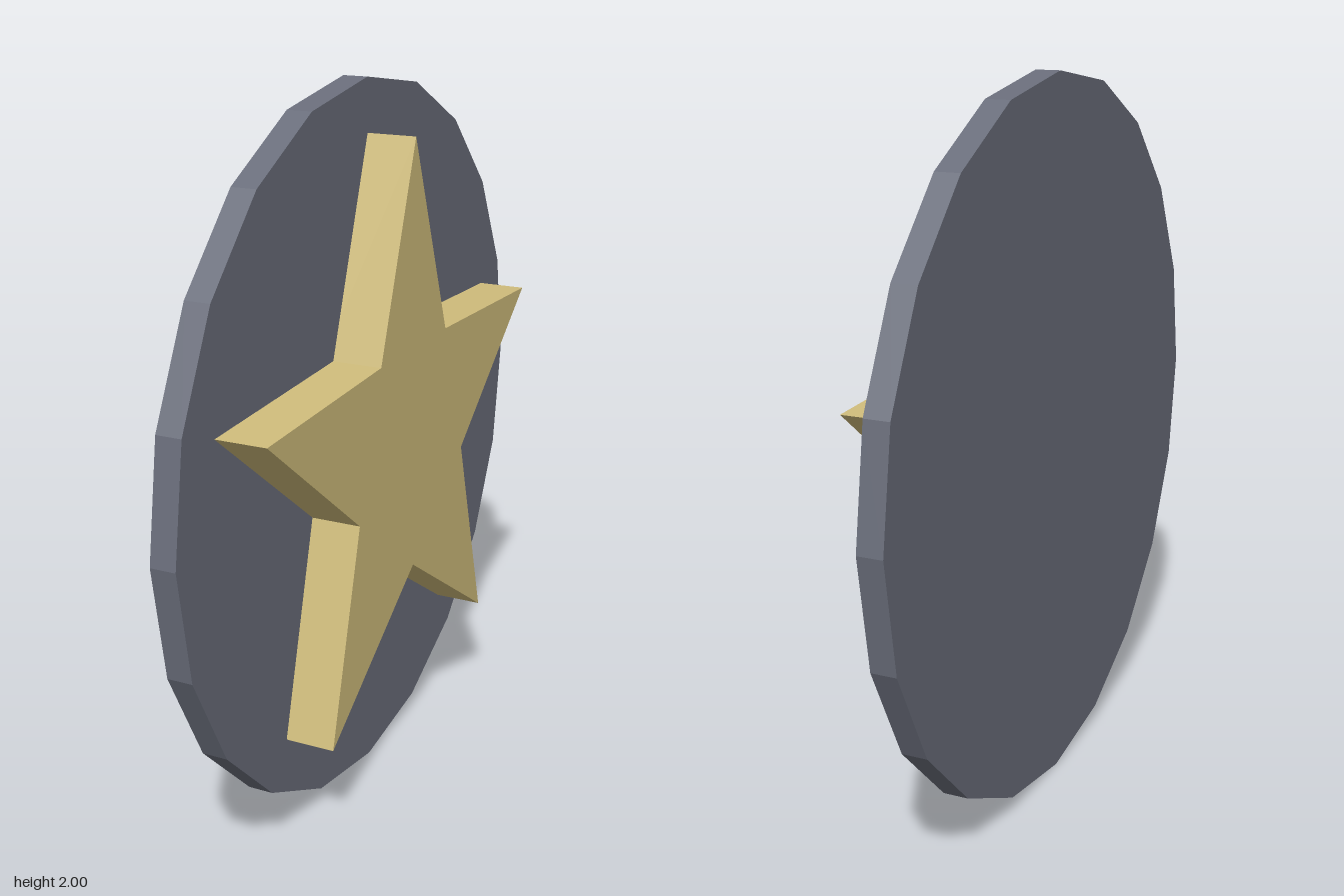
import * as THREE from 'three';

const DISC_BACK = -0.105, DISC_FRONT = -0.035, STAR_FRONT = 0.105;

// Five-pointed star outline with one tip pointing up
function starShape(outer, inner, tips = 5) {
  const points = [];
  for (let i = 0; i < tips * 2; i++) {
    const r = i % 2 ? inner : outer;
    const a = Math.PI / 2 + (i * Math.PI) / tips;
    points.push(new THREE.Vector2(r * Math.cos(a), r * Math.sin(a)));
  }
  return new THREE.Shape(points);
}

export function createModel() {
  const group = new THREE.Group();
  group.name = 'starMedallion';

  // Twenty-sided backing disc, facing +x
  const discGeometry = new THREE.CylinderGeometry(1, 1, DISC_FRONT - DISC_BACK, 20);
  discGeometry.rotateZ(-Math.PI / 2);
  const disc = new THREE.Mesh(
    discGeometry,
    new THREE.MeshStandardMaterial({ color: 0x6a6e7b, flatShading: true })
  );
  disc.name = 'backingDisc';
  disc.position.set((DISC_BACK + DISC_FRONT) / 2, 1, 0);
  group.add(disc);

  // Raised star, rooted slightly inside the disc
  const root = DISC_FRONT - 0.03;
  const starGeometry = new THREE.ExtrudeGeometry(starShape(0.855, 0.355), {
    depth: STAR_FRONT - root,
    bevelEnabled: false,
  });
  starGeometry.rotateY(Math.PI / 2);
  const star = new THREE.Mesh(
    starGeometry,
    new THREE.MeshStandardMaterial({ color: 0xd0bd7c, flatShading: true })
  );
  star.name = 'star';
  star.position.set(root, 1, 0);
  group.add(star);

  return group;
}
